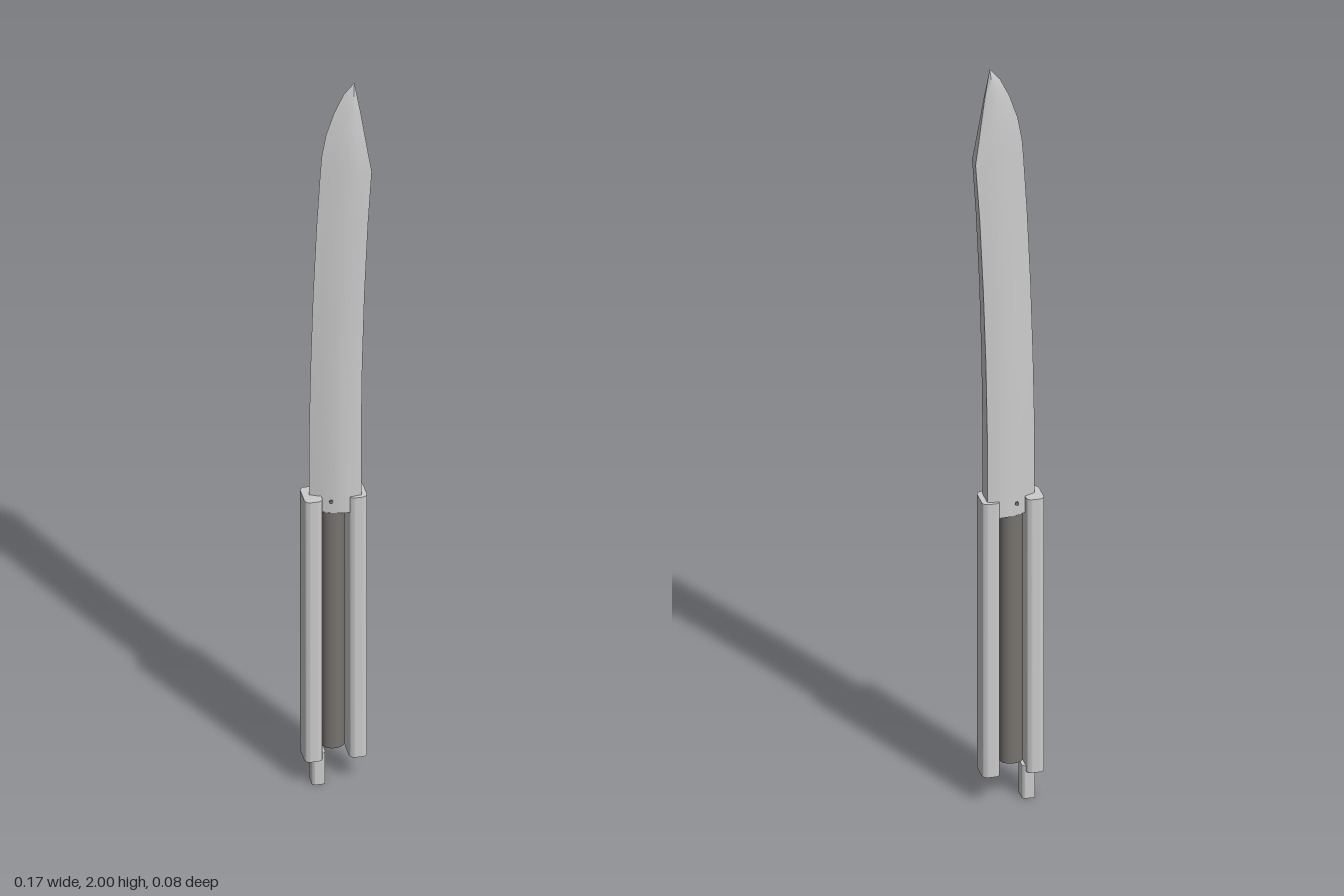
import * as THREE from 'three';
import { toCreasedNormals } from 'three/addons/utils/BufferGeometryUtils.js';

const steel = new THREE.MeshStandardMaterial({ color: 0xcccccc });
const dark = new THREE.MeshStandardMaterial({ color: 0x77736f });

// Upright prism with rounded corners, centred on (x, 0), from y0 to y1
function roundedBar(name, x, y0, y1, width, depth, radius, material) {
  const w = width / 2, d = depth / 2, r = radius;
  const s = new THREE.Shape();
  s.absarc(w - r, d - r, r, 0, Math.PI / 2);
  s.absarc(-w + r, d - r, r, Math.PI / 2, Math.PI);
  s.absarc(-w + r, -d + r, r, Math.PI, Math.PI * 1.5);
  s.absarc(w - r, -d + r, r, Math.PI * 1.5, Math.PI * 2);
  const geo = new THREE.ExtrudeGeometry(s, { depth: y1 - y0, bevelEnabled: false, curveSegments: 5 });
  geo.rotateX(-Math.PI / 2);
  const mesh = new THREE.Mesh(toCreasedNormals(geo, 0.5), material);
  mesh.name = name;
  mesh.position.set(x, y0, 0);
  return mesh;
}

// Curved blade lofted from wedge sections: sharp edge at -x, flat spine at +x
function bladeGeometry() {
  // height, edge x, spine x, belly half thickness, spine half thickness
  const sections = [
    [0.78, -0.071, 0.055, 0.031, 0.027],
    [1.00, -0.071, 0.055, 0.029, 0.025],
    [1.20, -0.067, 0.058, 0.026, 0.023],
    [1.40, -0.061, 0.064, 0.024, 0.021],
    [1.60, -0.052, 0.073, 0.022, 0.020],
    [1.75, -0.043, 0.083, 0.019, 0.018],
    [1.80, -0.039, 0.075, 0.018, 0.014],
    [1.86, -0.028, 0.066, 0.015, 0.009],
    [1.92, -0.008, 0.057, 0.011, 0.005],
    [1.97, 0.016, 0.048, 0.006, 0.002],
    [2.00, 0.042, 0.043, 0.0005, 0.0003],
  ];
  // fraction of the chord, fraction of the belly thickness
  const side = [[0.15, 0.3], [0.35, 0.66], [0.55, 0.92], [0.75, 1]];
  const pos = [], index = [];
  for (const [y, edge, spine, belly, back] of sections) {
    const at = (t) => edge + (spine - edge) * t;
    const half = [...side.map(([t, k]) => [at(t), belly * k]), [spine, back]];
    const ring = [[edge, 0], ...half, ...half.slice().reverse().map(([x, z]) => [x, -z])];
    for (const [x, z] of ring) pos.push(x, y, z);
  }
  const n = side.length * 2 + 3, last = (sections.length - 1) * n;
  for (let i = 0; i < sections.length - 1; i++) {
    for (let j = 0; j < n; j++) {
      const a = i * n + j, b = i * n + (j + 1) % n;
      index.push(a, b, b + n, a, b + n, a + n);
    }
  }
  for (let j = 1; j < n - 1; j++) {
    index.push(0, j + 1, j, last, last + j, last + j + 1);
  }
  const geo = new THREE.BufferGeometry();
  geo.setAttribute('position', new THREE.Float32BufferAttribute(pos, 3));
  geo.setIndex(index);
  return toCreasedNormals(geo, 0.5);
}

export function createModel() {
  const model = new THREE.Group();
  model.name = 'foldingKnife';

  const blade = new THREE.Mesh(bladeGeometry(), steel);
  blade.name = 'blade';
  model.add(blade);

  // Two split handle halves
  model.add(roundedBar('rightHandle', -0.0655, 0.075, 0.825, 0.045, 0.076, 0.014, steel));
  model.add(roundedBar('leftHandle', 0.0465, 0.075, 0.825, 0.045, 0.076, 0.014, steel));

  // Latch under the right handle
  model.add(roundedBar('latch', -0.051, 0, 0.09, 0.034, 0.05, 0.009, steel));

  // Dark core between the handles
  const core = new THREE.Mesh(new THREE.CylinderGeometry(0.029, 0.029, 0.68, 24), dark);
  core.name = 'core';
  core.scale.z = 0.85;
  core.position.set(-0.011, 0.44, 0);
  model.add(core);

  // Small pivot pin through the blade root
  const pin = new THREE.Mesh(new THREE.CylinderGeometry(0.005, 0.005, 0.052, 12), dark);
  pin.name = 'pivotPin';
  pin.rotation.x = Math.PI / 2;
  pin.position.set(-0.02, 0.812, 0);
  model.add(pin);

  return model;
}
